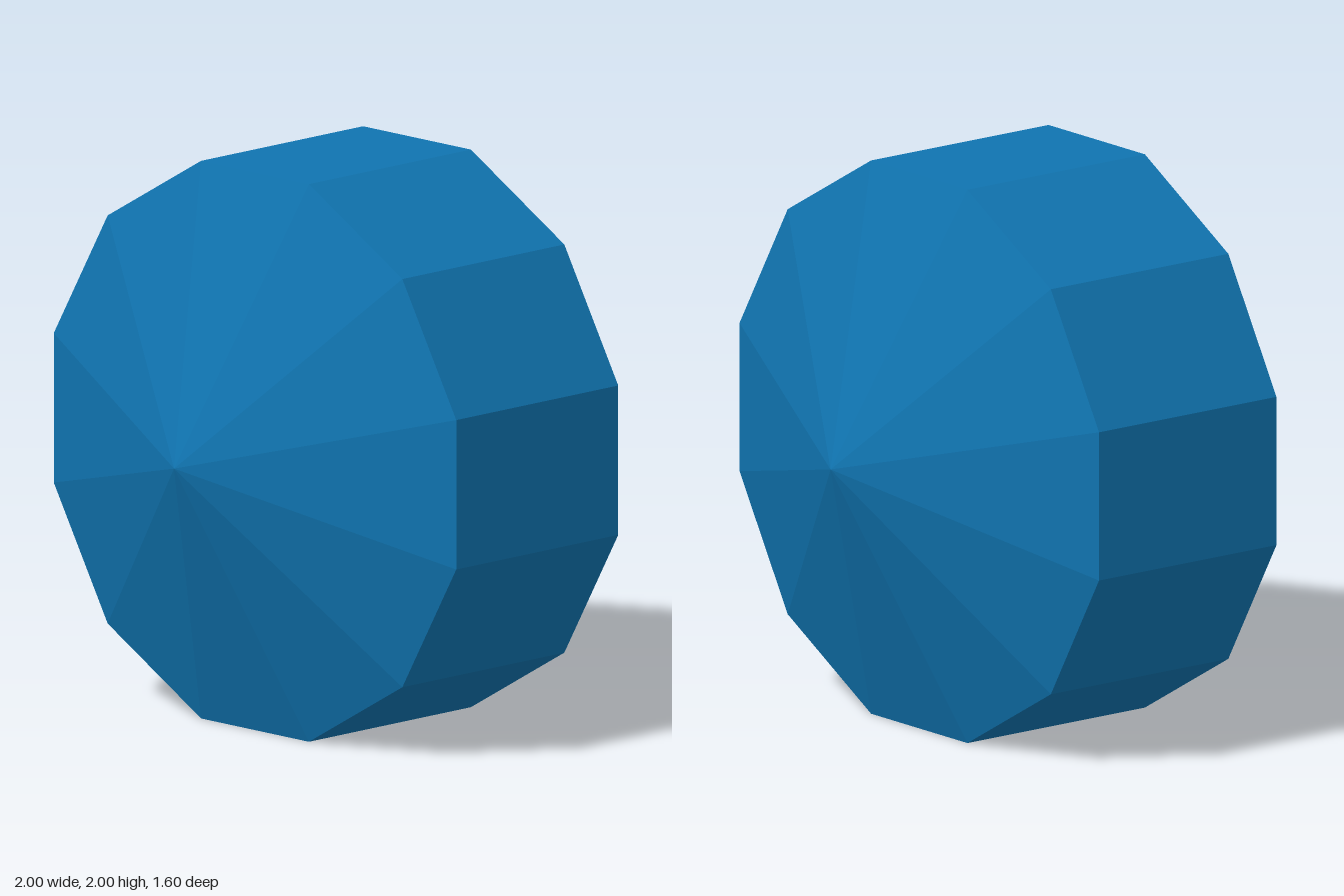
import * as THREE from 'three';

const SIDES = 12;
const RADIUS = 1 / Math.cos(Math.PI / SIDES); // flats lie at distance 1
const HALF_DEPTH = 0.4;
const POINT_HEIGHT = 0.4;

export function createModel() {
  const group = new THREE.Group();
  group.name = 'facetedGem';

  const blue = new THREE.MeshStandardMaterial({ color: 0x1074b0, flatShading: true });
  blue.name = 'blue';

  // Open twelve-sided section along z, turned half a step so flats face up and sideways
  function addSection(name, backRadius, frontRadius, depth, z) {
    const indexed = new THREE.CylinderGeometry(
      frontRadius, backRadius, depth, SIDES, 1, true, Math.PI / SIDES);
    const geometry = indexed.toNonIndexed();
    geometry.rotateX(Math.PI / 2);
    geometry.computeVertexNormals();
    const mesh = new THREE.Mesh(geometry, blue);
    mesh.name = name;
    mesh.position.set(0, 1, z);
    group.add(mesh);
  }

  // Straight rim with a shallow pyramid on each side
  const pointCentre = HALF_DEPTH + POINT_HEIGHT / 2;
  addSection('rim', RADIUS, RADIUS, HALF_DEPTH * 2, 0);
  addSection('frontPoint', RADIUS, 0, POINT_HEIGHT, pointCentre);
  addSection('backPoint', 0, RADIUS, POINT_HEIGHT, -pointCentre);

  return group;
}
